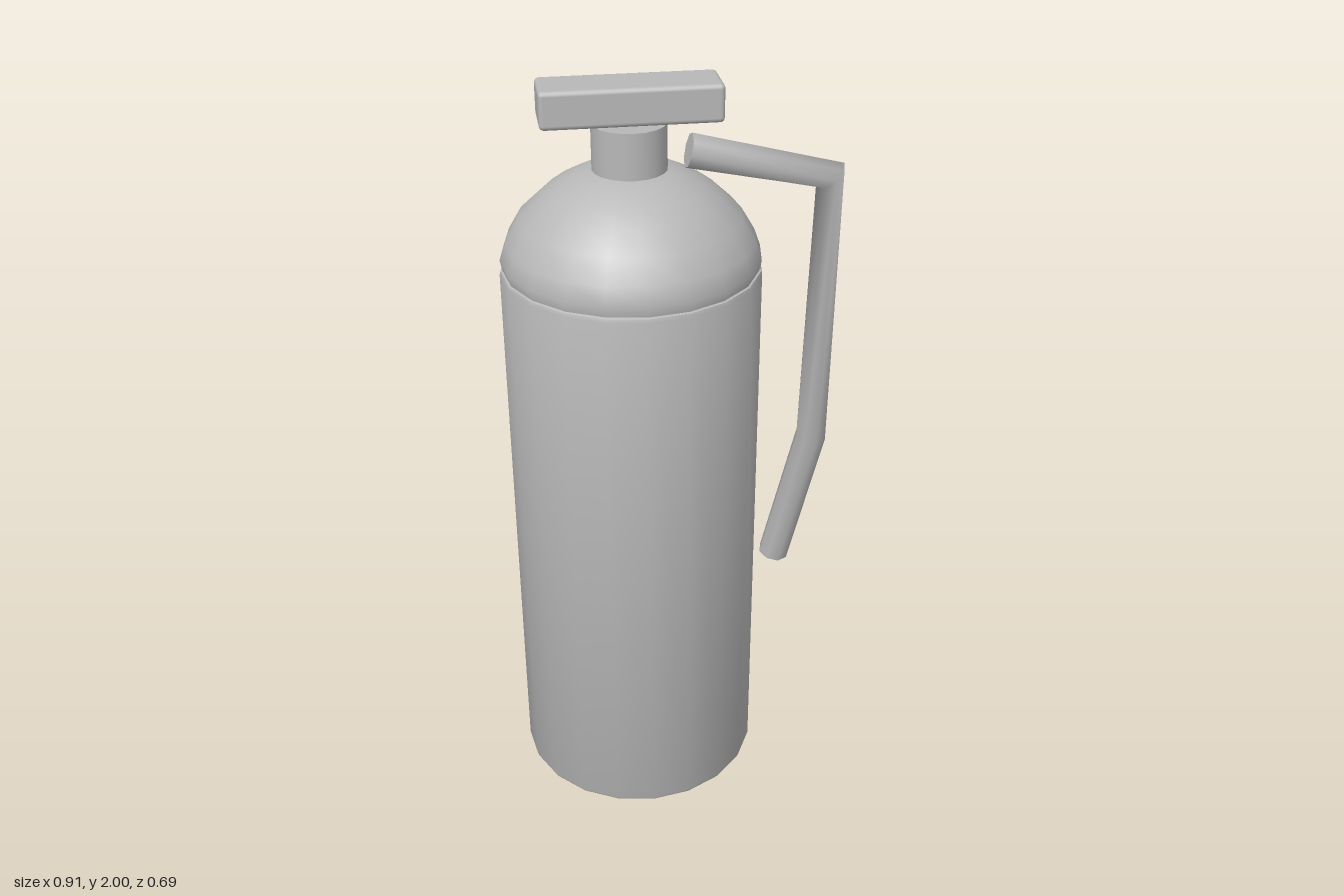
import * as THREE from 'three';
import { toCreasedNormals } from 'three/addons/utils/BufferGeometryUtils.js';
import { RoundedBoxGeometry } from 'three/addons/geometries/RoundedBoxGeometry.js';

const AXIS_X = -0.124, AXIS_Z = 0.009;

// Polyline path whose joints land exactly on the tube's rings
class Polyline extends THREE.Curve {
  constructor(points) { super(); this.points = points; }
  getPointAt(u) { return this.points[Math.round(u * (this.points.length - 1))].clone(); }
  getTangentAt(u) {
    const p = this.points, i = Math.round(u * (p.length - 1)), t = new THREE.Vector3();
    if (i > 0) t.add(p[i].clone().sub(p[i - 1]).normalize());
    if (i < p.length - 1) t.add(p[i + 1].clone().sub(p[i]).normalize());
    return t.normalize();
  }
}

// Flat end cap made from one ring of a tube
function tubeCap(tube, first, sides, reversed) {
  const pos = tube.attributes.position, verts = [];
  for (let k = 1; k < sides - 1; k++) {
    for (const j of reversed ? [0, k + 1, k] : [0, k, k + 1]) {
      verts.push(pos.getX(first + j), pos.getY(first + j), pos.getZ(first + j));
    }
  }
  const geo = new THREE.BufferGeometry();
  geo.setAttribute('position', new THREE.Float32BufferAttribute(verts, 3));
  geo.computeVertexNormals();
  return geo;
}

export function createModel() {
  const model = new THREE.Group();
  model.name = 'fireExtinguisher';
  const grey = new THREE.MeshStandardMaterial({ color: 0xb8b8b8 });
  grey.name = 'grey';

  const add = (name, geo, x = 0, y = 0, z = 0) => {
    const mesh = new THREE.Mesh(geo, grey);
    mesh.name = name;
    mesh.position.set(x, y, z);
    model.add(mesh);
  };
  const lathe = (profile, crease) => toCreasedNormals(
    new THREE.LatheGeometry(profile.map(([r, y]) => new THREE.Vector2(r, y)), 20), crease);

  // Tank with slightly bevelled rims
  add('tank', lathe([[0, 0], [0.32, 0], [0.329, 0.004], [0.333, 0.013],
    [0.333, 1.522], [0.33, 1.531], [0.322, 1.535], [0, 1.535]], 0.6), AXIS_X, 0, AXIS_Z);

  // Domed shoulder
  add('dome', lathe([[0.325, 1.532], [0.331, 1.56], [0.315, 1.605], [0.28, 1.665],
    [0.225, 1.717], [0.185, 1.746], [0.13, 1.774], [0.075, 1.788], [0, 1.79]], 1.2), AXIS_X, 0, AXIS_Z);

  // Neck and top handle
  add('neck', new THREE.CylinderGeometry(0.094, 0.094, 0.14, 20), AXIS_X, 1.83, AXIS_Z);
  add('handle', new RoundedBoxGeometry(0.444, 0.094, 0.136, 2, 0.012), -0.122, 1.953, 0.009);

  // Plate on the back
  add('backPlate', new RoundedBoxGeometry(0.418, 0.582, 0.029, 2, 0.01), AXIS_X, 0.868, -0.331);

  // Bent hose
  const sides = 8;
  const path = new Polyline([
    new THREE.Vector3(0.022, 1.82, 0.009),
    new THREE.Vector3(0.382, 1.737, 0.009),
    new THREE.Vector3(0.405, 0.9, -0.133),
    new THREE.Vector3(0.325, 0.447, -0.208),
  ]);
  const hose = new THREE.TubeGeometry(path, 3, 0.045, sides, false);
  add('hose', hose);
  add('hoseStartCap', tubeCap(hose, 0, sides, false));
  add('hoseEndCap', tubeCap(hose, 3 * (sides + 1), sides, true));

  return model;
}
